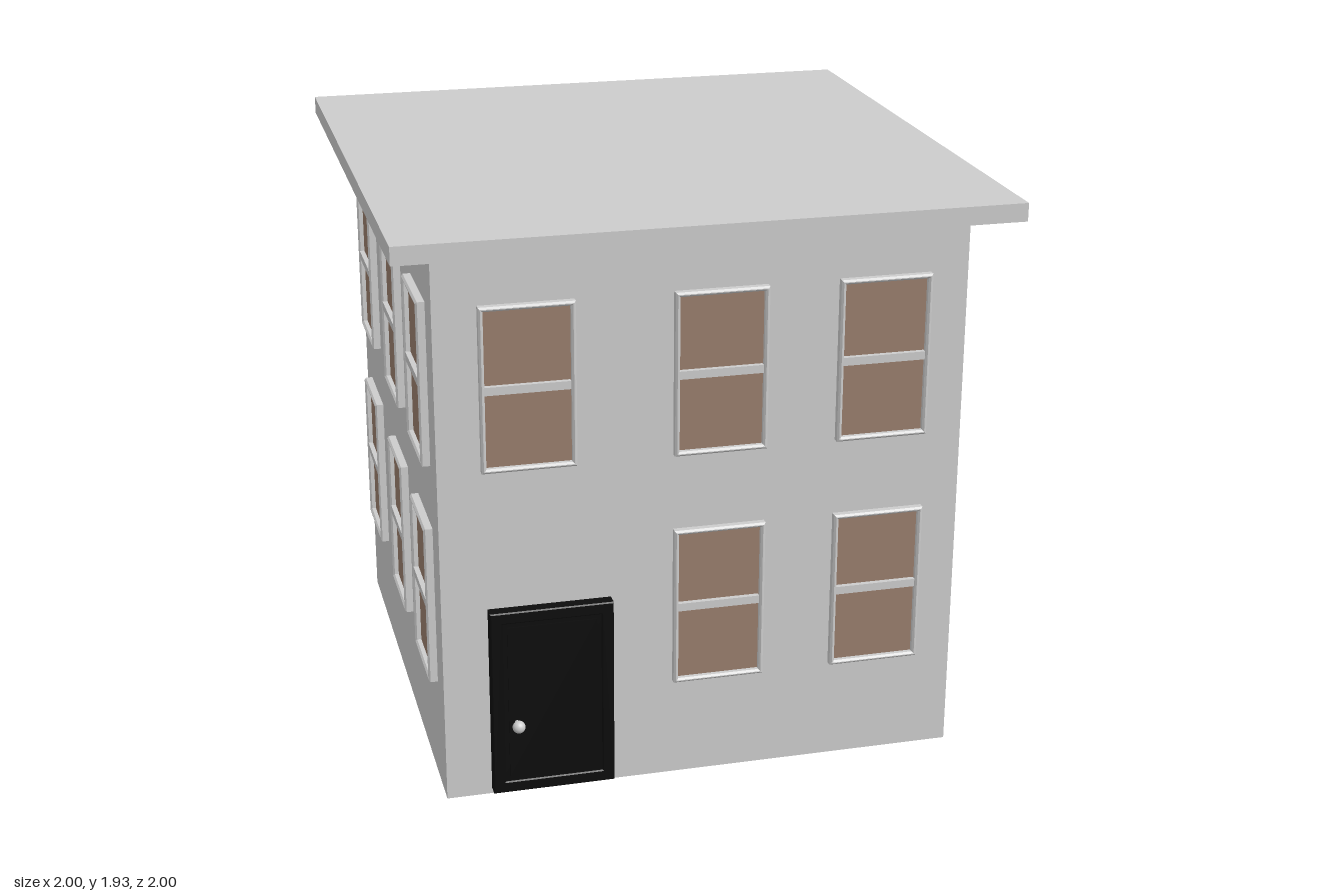
import * as THREE from 'three';

const grey = new THREE.MeshStandardMaterial({ color: 0xcccccc });
const brown = new THREE.MeshStandardMaterial({ color: 0x987d6c });
const black = new THREE.MeshStandardMaterial({ color: 0x0c0c0c });

const WALL = 0.865; // distance of each wall from the centre

function add(parent, name, geometry, material, x = 0, y = 0, z = 0) {
  const mesh = new THREE.Mesh(geometry, material);
  mesh.name = name;
  mesh.position.set(x, y, z);
  parent.add(mesh);
  return mesh;
}

function rectangle(path, w, h) {
  path.moveTo(-w / 2, -h / 2);
  path.lineTo(w / 2, -h / 2);
  path.lineTo(w / 2, h / 2);
  path.lineTo(-w / 2, h / 2);
  path.closePath();
  return path;
}

// Rectangular ring whose front edges are chamfered; it spans z = 0 to depth
function frameGeometry(w, h, border, depth, bevel) {
  const shape = rectangle(new THREE.Shape(), w, h);
  shape.holes.push(rectangle(new THREE.Path(), w - 2 * border, h - 2 * border));
  const geometry = new THREE.ExtrudeGeometry(shape, {
    depth: depth - 2 * bevel, bevelEnabled: true, bevelSegments: 1,
    bevelThickness: bevel, bevelSize: bevel, bevelOffset: -bevel,
  });
  return geometry.translate(0, 0, bevel);
}

// Sash window; its origin lies on the wall plane and it sticks out by "out"
function makeWindow(out) {
  const w = 0.305, h = 0.545, sunk = 0.02;
  const group = new THREE.Group();
  group.name = 'window';
  add(group, 'windowFrame', frameGeometry(w, h, 0.015, out + sunk, 0.006), grey, 0, 0, -sunk);
  add(group, 'windowPane', new THREE.BoxGeometry(w - 0.02, h - 0.02, 0.02), brown, 0, 0, out - 0.03);
  add(group, 'windowBar', new THREE.BoxGeometry(0.28, 0.027, 0.02), grey, -0.005, 0, out - 0.013);
  return group;
}

function makeDoor() {
  const w = 0.405, h = 0.65;
  const door = new THREE.Group();
  door.name = 'door';
  add(door, 'doorSlab', new THREE.BoxGeometry(w, h, 0.055), black, 0, 0, 0.0075);
  add(door, 'doorBorder', frameGeometry(w, h, 0.04, 0.03, 0.004), black, 0, 0, 0.013);
  add(door, 'doorPanel', new THREE.BoxGeometry(w - 0.11, h - 0.11, 0.02), black, 0, 0, 0.03);
  // Knob on a short stem
  const stem = new THREE.CylinderGeometry(0.007, 0.007, 0.045, 16).rotateX(Math.PI / 2);
  add(door, 'knobStem', stem, grey, -0.122, -0.07, 0.052);
  add(door, 'knob', new THREE.SphereGeometry(0.021, 24, 16), grey, -0.122, -0.07, 0.075);
  return door;
}

export function createModel() {
  const house = new THREE.Group();
  house.name = 'house';

  add(house, 'walls', new THREE.BoxGeometry(2 * WALL, 1.88, 2 * WALL), grey, 0, 0.94, 0);
  add(house, 'roof', new THREE.BoxGeometry(2, 0.06, 2), grey, 0, 1.905, 0);

  // Each side repeats the same three columns, with its own window heights
  const columns = [-0.573, 0.048, 0.587];
  const sides = [
    { name: 'frontSide', turn: 0, lower: 0.615, upper: 1.418, out: 0.027 },
    { name: 'leftSide', turn: Math.PI / 2, lower: 0.615, upper: 1.502, out: 0.045 },
    { name: 'backSide', turn: Math.PI, lower: 0.638, upper: 1.395, out: 0.027 },
    { name: 'rightSide', turn: -Math.PI / 2, lower: 0.64, upper: 1.402, out: 0.03 },
  ];
  for (const { name, turn, lower, upper, out } of sides) {
    const side = new THREE.Group();
    side.name = name;
    side.rotation.y = turn;
    for (const y of [lower, upper]) {
      columns.forEach((x, i) => {
        // The door takes the place of the first lower window at the front
        const isDoor = name === 'frontSide' && y === lower && i === 0;
        const part = isDoor ? makeDoor() : makeWindow(out);
        part.position.set(isDoor ? -0.513 : x, isDoor ? 0.345 : y, WALL);
        side.add(part);
      });
    }
    house.add(side);
  }
  return house;
}
